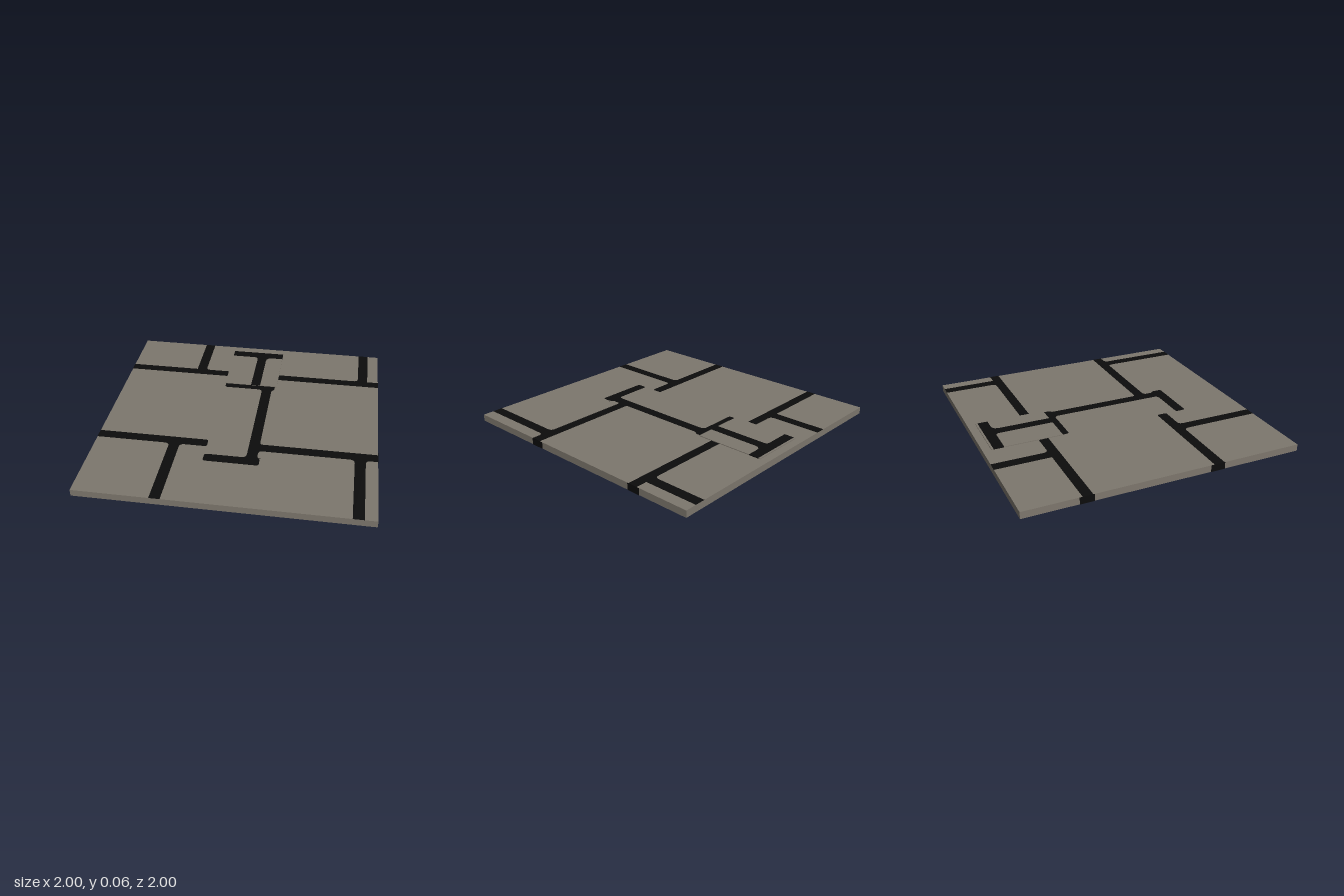
import * as THREE from 'three';

export function createModel() {
  const stone = new THREE.MeshStandardMaterial({ color: 0x7d776d });
  stone.name = 'stone grey';
  const joint = new THREE.MeshStandardMaterial({ color: 0x0c0c0c });
  joint.name = 'joint black';

  const root = new THREE.Group();
  root.name = 'pavingTile';
  const TOP = 0.05, SKIN = 0.001;

  // Outline in plan: x to the right, shape y = -z; r rounds the corners
  function rect(x0, x1, z0, z1, r = 0, Type = THREE.Shape) {
    const s = new Type();
    const a = -z1, b = -z0;
    s.moveTo(x0 + r, a);
    s.lineTo(x1 - r, a);
    if (r) s.quadraticCurveTo(x1, a, x1, a + r);
    s.lineTo(x1, b - r);
    if (r) s.quadraticCurveTo(x1, b, x1 - r, b);
    s.lineTo(x0 + r, b);
    if (r) s.quadraticCurveTo(x0, b, x0, b - r);
    s.lineTo(x0, a + r);
    if (r) s.quadraticCurveTo(x0, a, x0 + r, a);
    return s;
  }

  // Concave corner filler between two joints
  function fillet(x, z, sx, sz, r = 0.035) {
    const s = new THREE.Shape();
    s.moveTo(x, -z);
    s.lineTo(x + sx * r, -z);
    s.quadraticCurveTo(x, -z, x, -(z + sz * r));
    s.lineTo(x, -z);
    return s;
  }

  // Flat extrusion standing on height y
  function slab(name, shapes, y, height, material, parent = root) {
    const geo = new THREE.ExtrudeGeometry(shapes, { depth: height, bevelEnabled: false, curveSegments: 5 });
    geo.rotateX(-Math.PI / 2);
    const mesh = new THREE.Mesh(geo, material);
    mesh.name = name;
    mesh.position.y = y;
    parent.add(mesh);
    return mesh;
  }

  // Main tile with a rectangular opening under the cover
  const tile = rect(-1 + SKIN, 1 - SKIN, -1, 1);
  tile.holes.push(rect(-0.2, 0.2, -0.935, -0.42, 0, THREE.Path));
  slab('tile', tile, SKIN, TOP - SKIN, stone);

  // Joints on the upper face
  const R = 0.018;
  slab('topJoints', [
    rect(-1, -0.205, -0.6, -0.53),
    rect(0.205, 1, -0.6, -0.53),
    rect(-0.47, -0.395, -1, -0.6),
    rect(0.84, 0.915, -1, -0.6),
    fillet(-0.395, -0.6, 1, -1),
    fillet(0.84, -0.6, -1, -1),
    rect(-1, -0.5, 0.335, 0.41),
    rect(-0.53, -0.2, 0.335, 0.41, R),
    rect(0.17, 1, 0.335, 0.41),
    rect(-0.47, -0.395, 0.41, 1),
    rect(0.84, 0.915, 0.41, 1),
    fillet(-0.47, 0.41, -1, 1),
    fillet(-0.395, 0.41, 1, 1),
    fillet(0.84, 0.41, -1, 1),
    fillet(0.915, 0.41, 1, 1),
    rect(-0.2, 0.19, -0.44, -0.37, R),
    rect(0.095, 0.17, -0.39, 0.52),
    rect(-0.2, 0.19, 0.495, 0.57, R),
    fillet(0.095, -0.37, -1, 1),
    fillet(0.17, -0.37, 1, 1, 0.02),
    fillet(0.095, 0.495, -1, -1),
    fillet(0.17, 0.495, 1, -1, 0.03),
    fillet(0.17, 0.335, 1, -1, 0.02),
    fillet(0.17, 0.41, 1, 1, 0.03),
  ], TOP, SKIN, joint);

  // Joints on the underside
  slab('bottomJoints', [
    rect(-1, -0.2, -0.6, -0.53),
    rect(0.2, 1, -0.6, -0.53),
    rect(-1, -0.2, 0.335, 0.41, R),
    rect(0.095, 1, 0.335, 0.41, R),
    rect(0.095, 0.17, -0.42, 0.39),
    rect(-0.2, 0.19, -0.42, -0.37, R),
    rect(-0.2, 0.19, 0.495, 0.57, R),
    rect(-0.91, -0.835, -0.55, 0.36),
    fillet(0.17, 0.335, 1, -1),
    fillet(-0.835, 0.335, 1, -1),
    fillet(-0.835, -0.53, 1, 1),
  ], 0, SKIN, joint);

  // Joint ends on the left and right edges, and inside the opening
  for (const side of [-1, 1]) {
    for (const [z0, z1] of [[-0.62, -0.52], [0.31, 0.415]]) {
      const x = side * (1 - SKIN / 2);
      slab('edgeJoint', rect(x - SKIN / 2, x + SKIN / 2, z0, z1), 0, TOP, joint);
    }
    const x = side * 0.1995;
    slab('openingJoint', rect(x - SKIN / 2, x + SKIN / 2, -0.6, -0.53), 0, TOP, joint);
  }
  slab('openingFrontJoint', rect(-0.2, 0.19, -0.421, -0.42), 0, TOP, joint);

  // Thin raised cover with a T-shaped joint
  const cover = new THREE.Group();
  cover.name = 'cover';
  root.add(cover);
  slab('coverPlate', rect(-0.208, 0.204, -0.94, -0.42), TOP, 0.005, stone, cover);
  slab('coverCrossJoint', rect(-0.209, 0.205, -0.925, -0.85), TOP, 0.006, joint, cover);
  slab('coverStemJoint', [
    rect(0, 0.072, -0.85, -0.419),
    fillet(0, -0.85, -1, 1, 0.03),
    fillet(0.072, -0.85, 1, 1, 0.05),
  ], TOP + 0.005, SKIN, joint, cover);

  return root;
}
